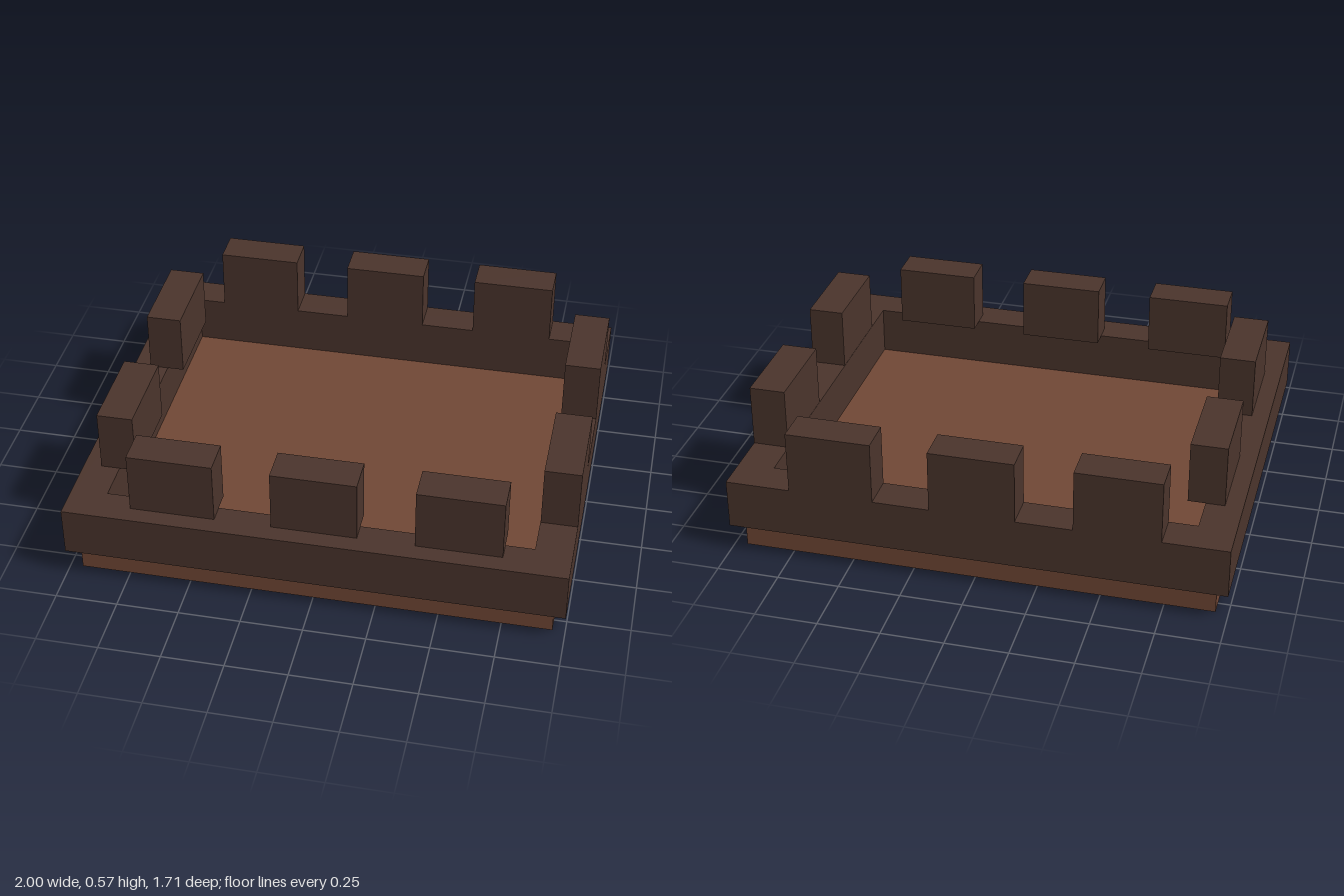
import * as THREE from 'three';

export function createModel() {
  const model = new THREE.Group();
  model.name = 'battlementPlatform';

  const lightWood = new THREE.MeshStandardMaterial({ color: 0x704735 });
  lightWood.name = 'light brown wood';
  const darkWood = new THREE.MeshStandardMaterial({ color: 0x4a342c });
  darkWood.name = 'dark brown wood';

  const FLOOR = 0.11, RIM = 0.313, TOP = 0.568;

  // Box placed by its centre in plan and its bottom and top heights
  function block(name, material, width, depth, x, z, bottom, top) {
    const mesh = new THREE.Mesh(new THREE.BoxGeometry(width, top - bottom, depth), material);
    mesh.name = name;
    mesh.position.set(x, (bottom + top) / 2, z);
    model.add(mesh);
  }

  // Floor slab
  block('floorSlab', lightWood, 1.9, 1.616, 0, 0, 0, FLOOR);

  // Parapet: a rectangular ring overhanging the slab
  const rectangle = (PathType, hx, hz) => new PathType([
    new THREE.Vector2(-hx, -hz), new THREE.Vector2(hx, -hz),
    new THREE.Vector2(hx, hz), new THREE.Vector2(-hx, hz),
  ]);
  const ring = rectangle(THREE.Shape, 1, 0.853);
  ring.holes.push(rectangle(THREE.Path, 0.853, 0.708));
  const ringGeometry = new THREE.ExtrudeGeometry(ring, { depth: RIM - FLOOR, bevelEnabled: false });
  ringGeometry.rotateX(-Math.PI / 2);
  const parapet = new THREE.Mesh(ringGeometry, darkWood);
  parapet.name = 'parapet';
  parapet.position.y = FLOOR;
  model.add(parapet);

  // Merlons: back and right rows are flush with the outside, front and left rows sit inward
  for (const x of [-0.568, 0, 0.568]) {
    block('backMerlon', darkWood, 0.341, 0.145, x, -0.7805, RIM, TOP);
    block('frontMerlon', darkWood, 0.341, 0.145, x, 0.708, RIM, TOP);
  }
  for (const z of [-0.355, 0.355]) {
    block('leftMerlon', darkWood, 0.146, 0.38, 0.927, z, RIM, TOP);
    block('rightMerlon', darkWood, 0.146, 0.38, -0.856, z, RIM, TOP);
  }

  return model;
}
